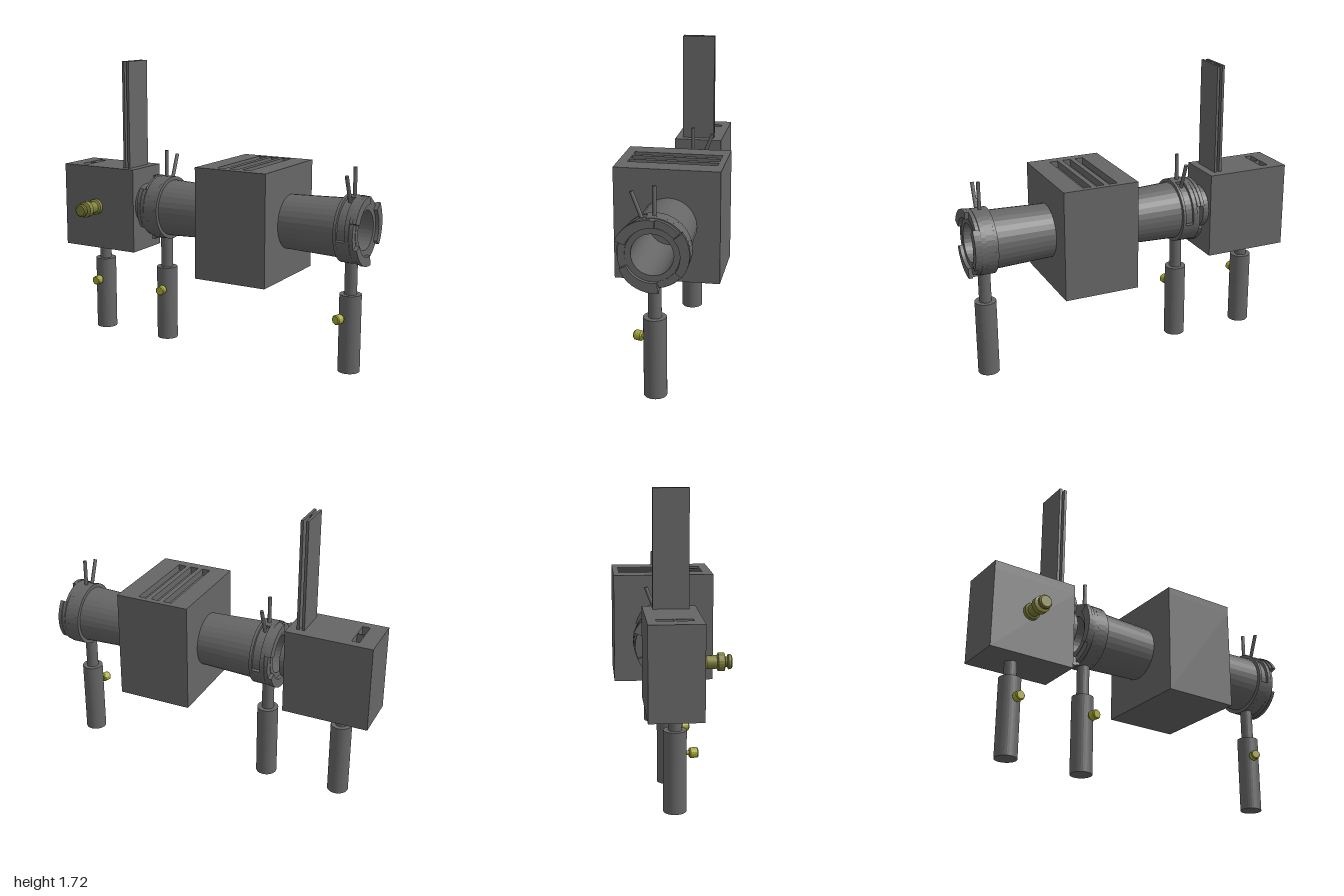
import * as THREE from 'three';

const flat = (name, color) => {
  const m = new THREE.MeshStandardMaterial({ color, flatShading: true });
  m.name = name;
  return m;
};
const AXIS_Y = 0.83, AXIS_Z = -0.012;

export function createModel() {
  const grey = flat('anodised grey', 0x666666);
  const brass = flat('brass screw', 0xa8a834);
  const oldBrass = flat('dull brass', 0x80803a);
  const model = new THREE.Group();
  model.name = 'opticalBench';

  const add = (parent, name, geo, mat, x = 0, y = 0, z = 0) => {
    const mesh = new THREE.Mesh(geo, mat);
    mesh.name = name;
    mesh.position.set(x, y, z);
    parent.add(mesh);
    return mesh;
  };
  const group = (name, x, y, z) => {
    const g = new THREE.Group();
    g.name = name;
    g.position.set(x, y, z);
    model.add(g);
    return g;
  };

  // Box from y0 to y1 with rectangular recesses [x0, x1, z0, z1] in its lid
  const slottedBox = (name, [x0, x1, y0, y1, z0, z1], slots, depth) => {
    const g = group(name, 0, 0, 0);
    const rect = (P, a, b, c, d) => {
      const p = new P();
      p.moveTo(a, -d); p.lineTo(b, -d); p.lineTo(b, -c); p.lineTo(a, -c); p.closePath();
      return p;
    };
    const lid = rect(THREE.Shape, x0, x1, z0, z1);
    for (const s of slots) lid.holes.push(rect(THREE.Path, ...s));
    const lidGeo = new THREE.ExtrudeGeometry(lid, { depth, bevelEnabled: false }).rotateX(-Math.PI / 2);
    add(g, name + 'Lid', lidGeo, grey, 0, y1 - depth, 0);
    const h = y1 - depth - y0;
    add(g, name + 'Body', new THREE.BoxGeometry(x1 - x0, h, z1 - z0), grey, (x0 + x1) / 2, y0 + h / 2, (z0 + z1) / 2);
  };

  // Lamp housing and vented middle housing
  slottedBox('lampHousing', [-1, -0.485, 0.55, 1.065, -0.165, 0.13],
    [[-0.905, -0.86, -0.115, -0.022], [-0.905, -0.86, -0.012, 0.08]], 0.05);
  slottedBox('middleHousing', [0.06, 0.51, 0.5, 1.15, -0.3, 0.3],
    [0.175, 0.255, 0.335].map(x => [x, x + 0.05, -0.265, 0.245]), 0.04);
  add(model, 'lampFlange', new THREE.CylinderGeometry(0.127, 0.127, 0.04, 32).rotateZ(Math.PI / 2),
    grey, -0.468, 0.835, -0.018);

  // Tall slide: two plates joined by a web
  const slide = group('slide', -0.5585, 1.38, -0.012);
  for (const s of [-1, 1]) add(slide, 'slidePlate', new THREE.BoxGeometry(0.016, 0.67, 0.198), grey, s * 0.0155, 0, 0);
  add(slide, 'slideWeb', new THREE.BoxGeometry(0.016, 0.67, 0.012), grey);

  // Side knob on the lamp housing, turned profile pointing to +z
  const knob = [[0, 0], [0.048, 0], [0.048, 0.022], [0.036, 0.03], [0.036, 0.085], [0.049, 0.092], [0.049, 0.125],
    [0.028, 0.132], [0.028, 0.14], [0.04, 0.146], [0.04, 0.16], [0.032, 0.166], [0, 0.166]];
  add(model, 'sideKnob', new THREE.LatheGeometry(knob.map(p => new THREE.Vector2(...p)), 20).rotateX(Math.PI / 2),
    oldBrass, -0.765, 0.812, 0.129);

  // Hollow tube narrowing towards the middle
  const tube = [[0.113, -0.4], [0.145, -0.4], [0.17, -0.36], [0.171, -0.28], [0.158, 0.06], [0.158, 0.51],
    [0.17, 0.86], [0.17, 0.93], [0.145, 0.975], [0.113, 0.975], [0.113, -0.4]];
  add(model, 'tube', new THREE.LatheGeometry(tube.map(p => new THREE.Vector2(...p)), 32).rotateZ(-Math.PI / 2),
    grey, 0, AXIS_Y, AXIS_Z);

  // Ring sector around x; angles in degrees from +z towards +y, outer radius may spiral
  const sector = (ri, ro0, ro1, a0, a1, x0, x1) => {
    const n = Math.max(3, Math.ceil((a1 - a0) / 9)), pts = [];
    const put = (r, t) => {
      const a = THREE.MathUtils.degToRad(a0 + (a1 - a0) * t);
      pts.push(new THREE.Vector2(-Math.cos(a) * r, Math.sin(a) * r));
    };
    for (let i = 0; i <= n; i++) put(ro0 + (ro1 - ro0) * i / n, i / n);
    for (let i = n; i >= 0; i--) put(ri, i / n);
    return new THREE.ExtrudeGeometry(new THREE.Shape(pts), { depth: x1 - x0, bevelEnabled: false })
      .rotateY(Math.PI / 2).translate(x0, 0, 0);
  };

  // Lens mount: slotted collar, spiral cam, claws and two lever pins
  const lensMount = (name, x, turn) => {
    const g = group(name, x, AXIS_Y, AXIS_Z);
    g.rotation.y = turn;
    for (const h of [0, 180]) {
      add(g, 'collarCore', sector(0.15, 0.174, 0.174, h, h + 180, -0.045, 0.047), grey);
      add(g, 'rearRim', sector(0.16, 0.192, 0.192, h, h + 180, -0.045, -0.028), grey);
      add(g, 'frontRim', sector(0.16, 0.192, 0.192, h, h + 180, 0.022, 0.047), grey);
    }
    add(g, 'collarFill', sector(0.16, 0.192, 0.192, 78, 348, -0.028, 0.022), grey);
    for (const a of [20, 140, 260]) {
      add(g, 'cam', sector(0.145, 0.2, 0.182, a, a + 120, 0.047, 0.068), grey);
      add(g, 'claw', sector(0.148, 0.207, 0.19, a, a + 75, 0.068, 0.09), grey);
    }
    for (const [angle, tip] of [[0, 0.35], [21, 0.336]]) {
      const pin = new THREE.CylinderGeometry(0.011, 0.011, tip - 0.16, 12).translate(0, (tip + 0.16) / 2, 0);
      add(g, 'leverPin', pin, grey).rotation.x = THREE.MathUtils.degToRad(angle);
    }
  };
  lensMount('leftEndMount', -0.33, Math.PI);
  lensMount('rightEndMount', 0.905, 0);

  // Posts in holders, each with a thumb screw
  const post = (name, x, top, turn) => {
    const g = group(name, x, 0, -0.009);
    add(g, 'postHolder', new THREE.CylinderGeometry(0.063, 0.063, 0.455, 32), grey, 0, 0.2275, 0);
    add(g, 'postRod', new THREE.CylinderGeometry(0.036, 0.036, top - 0.45, 24), grey, 0, (top + 0.45) / 2, 0);
    const screw = [[0, 0.05], [0.012, 0.05], [0.012, 0.075], [0.022, 0.075], [0.028, 0.082], [0.028, 0.118],
      [0.023, 0.124], [0, 0.124]];
    add(g, 'thumbScrew', new THREE.LatheGeometry(screw.map(p => new THREE.Vector2(...p)), 16).rotateX(Math.PI / 2),
      brass, 0, 0.324, 0).rotation.y = turn;
  };
  post('lampPost', -0.8, 0.56, 0.05);
  post('leftEndPost', -0.332, 0.66, 0.18);
  post('rightEndPost', 0.897, 0.66, -0.33);

  return model;
}
